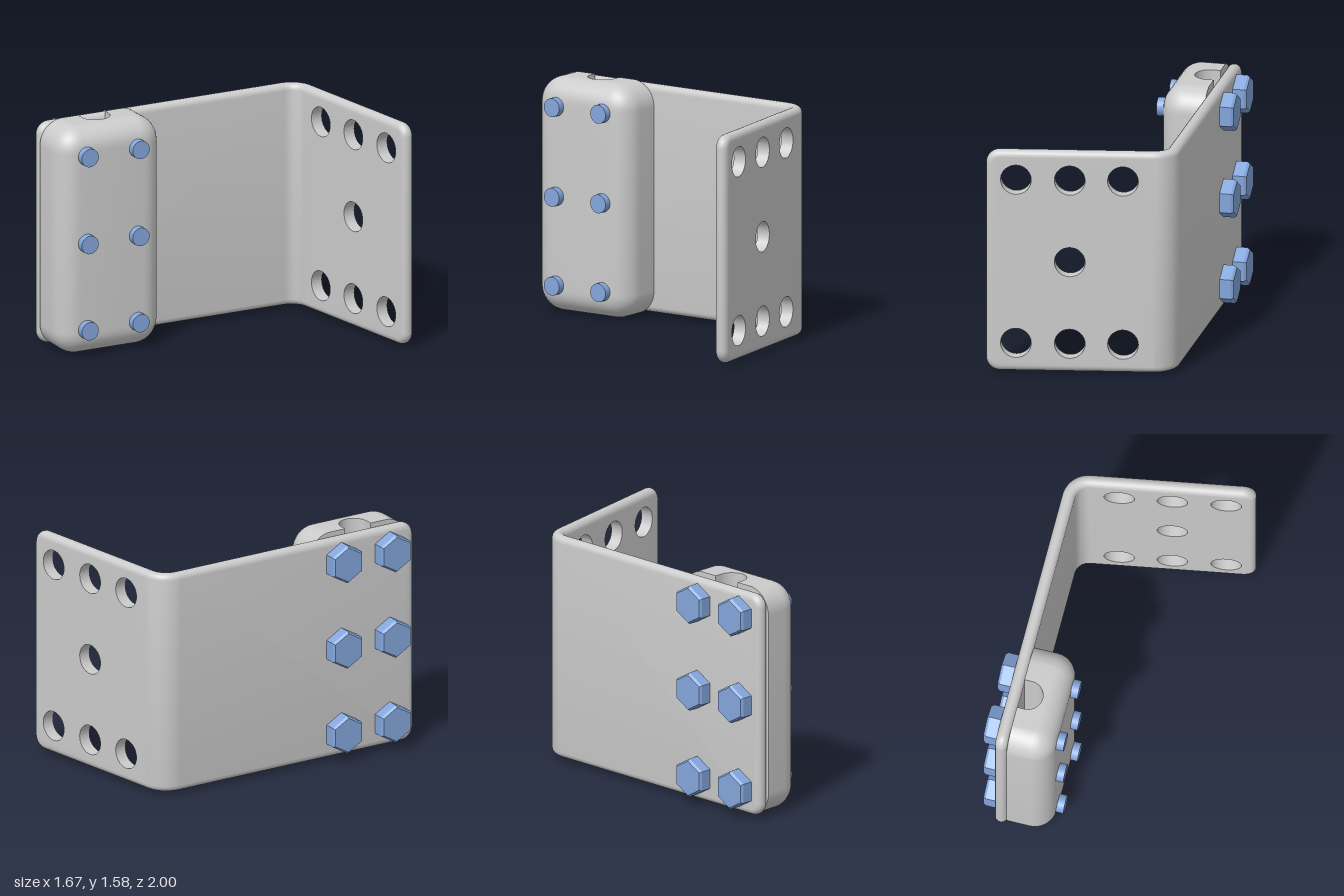
import * as THREE from 'three';
import { mergeGeometries, toCreasedNormals } from 'three/addons/utils/BufferGeometryUtils.js';

const TILT = THREE.MathUtils.degToRad(10);
const grey = new THREE.MeshStandardMaterial({ color: 0xcccccc, side: THREE.DoubleSide });
const blue = new THREE.MeshStandardMaterial({ color: 0x84a6dc });
const flatBlue = new THREE.MeshStandardMaterial({ color: 0x84a6dc, flatShading: true });

function mesh(name, geometry, material) {
  const m = new THREE.Mesh(geometry, material);
  m.name = name;
  return m;
}

// Skin over rows of points, each row a closed loop
function loft(rows, extraIndex = []) {
  const n = rows[0].length, index = [];
  for (let i = 0; i < rows.length - 1; i++) {
    for (let j = 0; j < n; j++) {
      const a = i * n + j, b = i * n + (j + 1) % n;
      index.push(a, b, a + n, b, b + n, a + n);
    }
  }
  const g = new THREE.BufferGeometry();
  g.setAttribute('position', new THREE.Float32BufferAttribute(rows.flat(2), 3));
  g.setIndex([...index, ...extraIndex]);
  return g;
}

// Bent plate: drawn flat in (s, y), then wrapped round the bend
const HALF = 0.043, BEND = 0.137, BEND_LENGTH = BEND * (Math.PI / 2 - TILT);
const CENTRE = { x: -0.269, z: -0.82 };
function wrap(s, y, off) {
  const t = THREE.MathUtils.clamp(s, 0, BEND_LENGTH);
  const a = TILT + t / BEND, rest = s - t;
  return [
    CENTRE.x - (BEND - off) * Math.cos(a) + rest * Math.sin(a), y,
    CENTRE.z - (BEND - off) * Math.sin(a) - rest * Math.cos(a)];
}

function plateGeometry(holes) {
  const s0 = -1.834, s1 = BEND_LENGTH + 1.104, y0 = 0.02, y1 = 1.56, corner = 0.09;
  const bends = Array.from({ length: 13 }, (_, i) => BEND_LENGTH * i / 12);
  const outline = [];
  const arc = (s, y, from) => {
    for (let i = 0; i <= 8; i++) {
      const a = from + Math.PI / 2 * i / 8, nx = Math.cos(a), ny = Math.sin(a);
      outline.push({ s: s + (corner - HALF) * nx, y: y + (corner - HALF) * ny, nx, ny });
    }
  };
  arc(s0 + corner, y0 + corner, Math.PI);
  bends.forEach(s => outline.push({ s, y: y0 + HALF, nx: 0, ny: -1 }));
  arc(s1 - corner, y0 + corner, Math.PI * 1.5);
  arc(s1 - corner, y1 - corner, 0);
  [...bends].reverse().forEach(s => outline.push({ s, y: y1 - HALF, nx: 0, ny: 1 }));
  arc(s0 + corner, y1 - corner, Math.PI / 2);

  // Fully rounded rim
  const rows = [];
  for (let k = 0; k <= 10; k++) {
    const p = -Math.PI / 2 + Math.PI * k / 10, out = HALF * Math.cos(p);
    rows.push(outline.map(o => wrap(o.s + o.nx * out, o.y + o.ny * out, HALF * Math.sin(p))));
  }
  const parts = [loft(rows)];

  // Inner and outer faces, cut into strips through the bend
  const cuts = [-9, ...bends, 9];
  for (let i = 0; i < cuts.length - 1; i++) {
    const pts = outline.filter(o => o.s >= cuts[i] - 1e-6 && o.s <= cuts[i + 1] + 1e-6);
    const shape = new THREE.Shape(pts.map(o => new THREE.Vector2(o.s, o.y)));
    if (i === cuts.length - 2) {
      for (const [x, y, r] of holes) {
        shape.holes.push(new THREE.Path().absarc(BEND_LENGTH + x - CENTRE.x, y, r, 0, Math.PI * 2, true));
      }
    }
    for (const side of [1, -1]) {
      const g = new THREE.ShapeGeometry(shape, 16);
      const p = g.attributes.position;
      for (let k = 0; k < p.count; k++) p.setXYZ(k, ...wrap(p.getX(k), p.getY(k), side * HALF));
      if (side < 0) g.setIndex([...g.index.array].reverse());
      else g.setIndex([...g.index.array]);
      g.deleteAttribute('normal');
      g.deleteAttribute('uv');
      parts.push(g);
    }
  }
  return toCreasedNormals(mergeGeometries(parts), 0.5);
}

// Clamp block: rounded on the outer side, with a U channel against the plate
function clampGeometry() {
  const v0 = 0.043, depth = 0.35, fillet = 0.15, halfU = 0.385, halfY = 0.79, corner = 0.17;
  const midU = -0.345, channel = 0.1, base = depth - fillet;
  const inset = v => v <= base ? 0 : fillet - Math.sqrt(Math.max(0, fillet ** 2 - (v - base) ** 2));
  const width = (dy, v) => {
    const i = inset(v), r = Math.max(corner - i, 0.02);
    const over = Math.max(0, dy - (halfY - i - r));
    return halfU - i - r + Math.sqrt(Math.max(0, r * r - over * over));
  };
  const section = y => {
    const dy = Math.abs(y - halfY), i = Math.min(fillet, halfY - dy);
    const top = base + Math.sqrt(fillet ** 2 - (fillet - i) ** 2);
    const side = [[v0, width(dy, v0)]];
    for (let k = 0; k <= 8; k++) {
      const v = base + (top - base) * Math.sin(Math.PI / 2 * k / 8);
      side.push([v, width(dy, v)]);
    }
    const loop = [...side, ...[...side].reverse().map(([v, w]) => [v, -w])];
    loop.push([v0, -channel]);
    for (let k = 0; k <= 20; k++) {
      const a = Math.PI * k / 20;
      loop.push([0.093 + channel * Math.sin(a), -channel * Math.cos(a)]);
    }
    loop.push([v0, channel]);
    return loop.map(([v, u]) => [v, y, midU + u]);
  };
  const ends = Array.from({ length: 11 }, (_, k) => 0.62 + 0.169 * Math.sin(Math.PI / 2 * k / 10));
  const ys = [...[...ends].reverse().map(d => halfY - d), ...ends.map(d => halfY + d)];
  const rows = ys.map(section), n = rows[0].length, last = (rows.length - 1) * n;
  const caps = [];
  const flat = rows[0].map(([x, , z]) => new THREE.Vector2(x, -z));
  for (const [a, b, c] of THREE.ShapeUtils.triangulateShape(flat, [])) {
    caps.push(c, b, a, last + a, last + b, last + c);
  }
  return toCreasedNormals(loft(rows, caps), 0.5);
}

export function createModel() {
  const model = new THREE.Group();
  model.name = 'clampBracket';

  // Plate with seven mounting holes
  const holes = [[0.28, 0.79, 0.102]];
  for (const x of [-0.073, 0.28, 0.637]) for (const y of [0.22, 1.36]) holes.push([x, y, 0.102]);
  model.add(mesh('bentPlate', plateGeometry(holes), grey));
  for (const [x, y, r] of holes) {
    const wall = mesh('holeWall', new THREE.CylinderGeometry(r, r, HALF * 2, 32, 1, true), grey);
    wall.rotation.x = Math.PI / 2;
    wall.position.set(x, y, -0.957);
    model.add(wall);
  }

  // Clamp and bolts, in the frame of the slanted arm
  const clamp = new THREE.Group();
  clamp.name = 'clamp';
  clamp.position.set(-0.715, 0, 0.92);
  clamp.rotation.y = -TILT;
  model.add(clamp);
  clamp.add(mesh('clampBlock', clampGeometry(), grey));

  const headProfile = [[0, 0], [0.133, 0], [0.133, 0.075], [0.12, 0.092], [0, 0.092]]
    .map(([r, h]) => new THREE.Vector2(r, h));
  const headGeometry = new THREE.LatheGeometry(headProfile, 6);
  const tipGeometry = new THREE.CylinderGeometry(0.063, 0.063, 0.44, 24);
  for (const y of [0.19, 0.79, 1.395]) {
    for (const u of [-0.15, -0.53]) {
      const bolt = new THREE.Group();
      bolt.name = 'bolt';
      bolt.position.set(0, y, u);
      const head = mesh('boltHead', headGeometry, flatBlue);
      head.rotation.set(0, Math.PI / 2, Math.PI / 2);
      head.rotation.order = 'ZYX';
      head.position.x = -HALF;
      const shank = mesh('boltShank', tipGeometry, blue);
      shank.rotation.z = Math.PI / 2;
      shank.position.x = 0.18;
      bolt.add(head, shank);
      clamp.add(bolt);
    }
  }
  return model;
}
